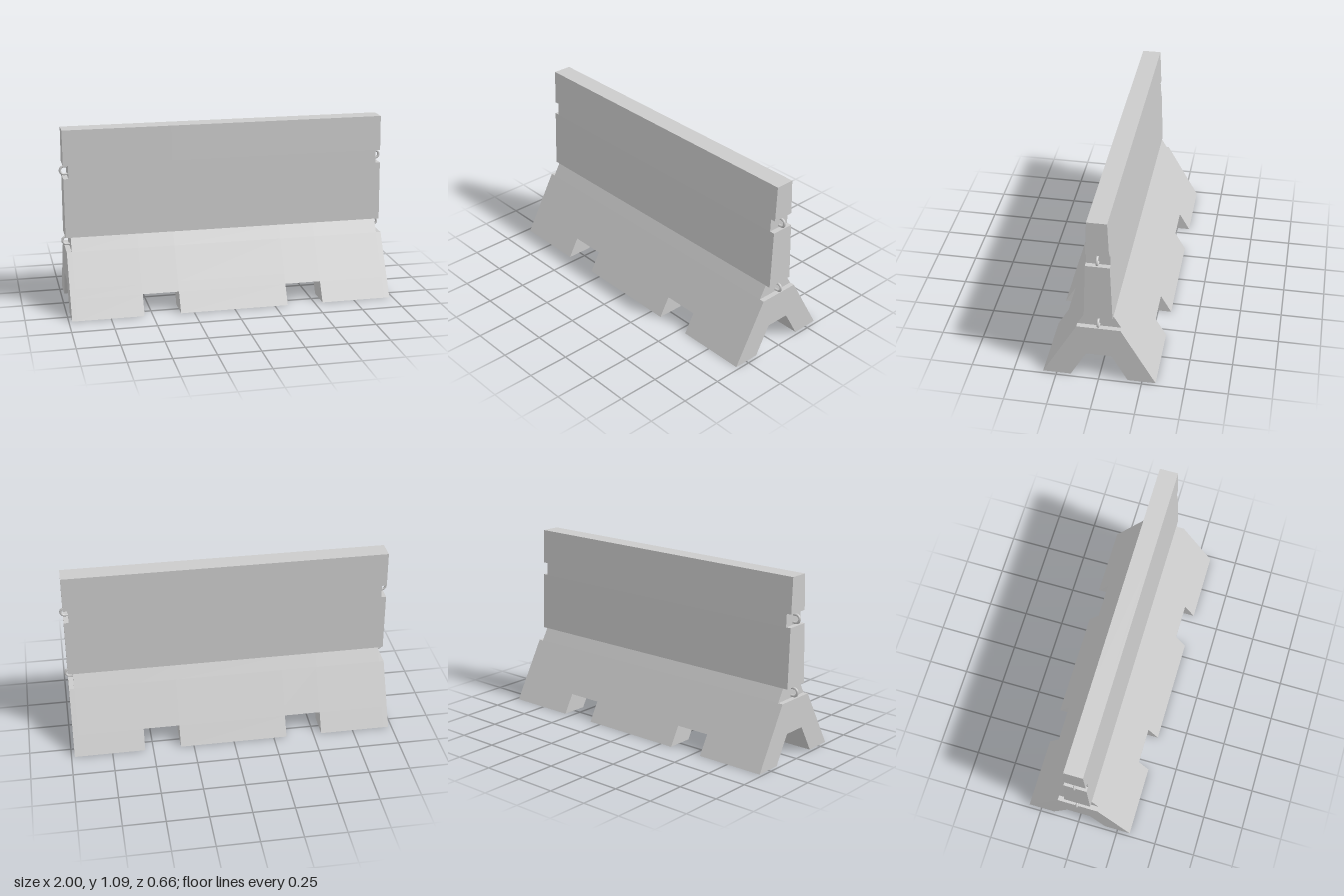
import * as THREE from 'three';

const material = new THREE.MeshStandardMaterial({ color: 0xcccccc });

// Grid lines of the wall: stations along x, and rows of [y, outer half width, inner half width]
const XS = [-0.98, -0.95, -0.55, -0.33, 0.33, 0.55, 0.95, 0.98];
const ROWS = [
  [0, 0.33, 0.167], [0.115, 0.265, 0.103], [0.168, 0.235, 0.073], [0.362, 0.126, 0.07],
  [0.438, 0.082, 0.065], [0.797, 0.069, 0.055], [0.875, 0.066, 0.05], [1.088, 0.057, 0.04],
];

// Is the cell at x slab i, row band j, depth column k filled?
function isSolid(i, j, k) {
  if (i < 0 || i > 6 || j < 0 || j > 6 || k < 0 || k > 2) return false;
  if (k === 1 && j < 2) return false;                       // channel underneath
  if (j === 0 && (i === 2 || i === 4)) return false;        // fork pockets
  if ((j === 3 || j === 5) && (i === 0 || i === 6)) return false; // end slots
  return true;
}

function corner(i, j, k) {
  const [y, outer, inner] = ROWS[j];
  return [XS[i], y, [-outer, -inner, inner, outer][k]];
}

// Only the exposed faces of the filled cells are built
function wallGeometry() {
  const positions = [];
  for (let i = 0; i < 7; i++) for (let j = 0; j < 7; j++) for (let k = 0; k < 3; k++) {
    if (!isSolid(i, j, k)) continue;
    for (let axis = 0; axis < 3; axis++) for (const side of [0, 1]) {
      const next = [i, j, k];
      next[axis] += side ? 1 : -1;
      if (isSolid(...next)) continue;
      const u = (axis + 1) % 3, v = (axis + 2) % 3;
      const quad = [[0, 0], [1, 0], [1, 1], [0, 1]].map(([a, b]) => {
        const c = [i, j, k];
        c[axis] += side;
        c[u] += a;
        c[v] += b;
        return corner(...c);
      });
      if (!side) quad.reverse();
      for (const n of [0, 1, 2, 0, 2, 3]) positions.push(...quad[n]);
    }
  }
  const geometry = new THREE.BufferGeometry();
  geometry.setAttribute('position', new THREE.Float32BufferAttribute(positions, 3));
  geometry.computeVertexNormals();
  return geometry;
}

// U-shaped steel loop: two straight legs joined by a half circle
function loopGeometry() {
  const radius = 0.0235, bendX = 0.969;
  const path = new THREE.CurvePath();
  const points = [];
  for (let n = 0; n <= 12; n++) {
    const a = -Math.PI / 2 + (n / 12) * Math.PI;
    points.push(new THREE.Vector3(bendX + radius * Math.cos(a), radius * Math.sin(a), 0));
  }
  path.add(new THREE.LineCurve3(new THREE.Vector3(0.945, -radius, 0), points[0]));
  path.add(new THREE.CatmullRomCurve3(points));
  path.add(new THREE.LineCurve3(points[12], new THREE.Vector3(0.945, radius, 0)));
  return new THREE.TubeGeometry(path, 40, 0.0075, 12);
}

export function createModel() {
  const model = new THREE.Group();
  model.name = 'roadBarrier';

  const wall = new THREE.Mesh(wallGeometry(), material);
  wall.name = 'barrierWall';
  model.add(wall);

  // Connecting loops in the end slots
  const loop = loopGeometry();
  for (const [side, turn] of [['left', 0], ['right', Math.PI]]) {
    for (const [level, y] of [['Lower', 0.4], ['Upper', 0.835]]) {
      const mesh = new THREE.Mesh(loop, material);
      mesh.name = `${side}${level}Loop`;
      mesh.position.y = y;
      mesh.rotation.y = turn;
      model.add(mesh);
    }
  }
  return model;
}
